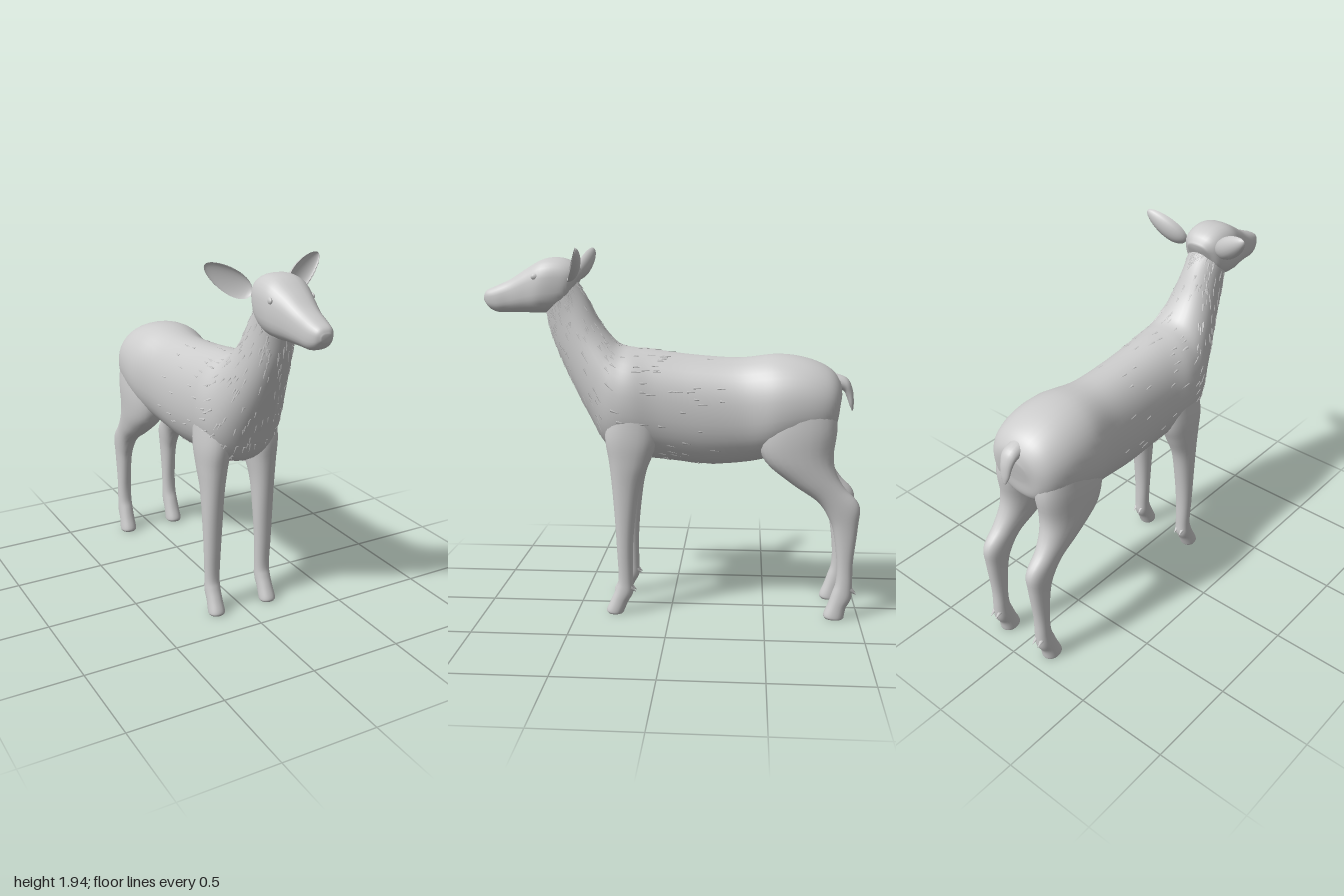
import * as THREE from 'three';
import { mergeGeometries } from 'three/addons/utils/BufferGeometryUtils.js';

// A section is [zA, yA, zB, yB, halfWidth, centreX]: two opposite rim points of the
// side profile plus a half width. Returns a smooth function (u, angle) -> point.
function surface(sections, power = 2) {
  const ends = new THREE.CatmullRomCurve3(sections.map(s => new THREE.Vector3(s[0], s[1], s[2])), false, 'catmullrom', 0.5);
  const rest = new THREE.CatmullRomCurve3(sections.map(s => new THREE.Vector3(s[3], s[4], s[5] || 0)), false, 'catmullrom', 0.5);
  const soft = v => Math.sign(v) * Math.abs(v) ** (2 / power);
  return (u, angle) => {
    const a = ends.getPoint(u), b = rest.getPoint(u);
    const c = soft(Math.cos(angle)), k = (soft(Math.sin(angle)) + 1) / 2;
    return new THREE.Vector3(b.z + b.y * c, b.x + (a.y - b.x) * k, a.z + (a.x - a.z) * k);
  };
}

// Closed skin over a surface function
function loft(fn, rings, sides = 28) {
  const pos = [], index = [];
  for (let i = 0; i <= rings; i++) {
    for (let j = 0; j < sides; j++) pos.push(...fn(i / rings, j / sides * Math.PI * 2).toArray());
  }
  for (let i = 0; i < rings; i++) {
    for (let j = 0; j < sides; j++) {
      const a = i * sides + j, b = i * sides + (j + 1) % sides;
      index.push(a, b, b + sides, a, b + sides, a + sides);
    }
  }
  const count = (rings + 1) * sides, last = rings * sides;
  for (const u of [0, 1]) {
    const p = fn(u, 0).add(fn(u, Math.PI)).multiplyScalar(0.5);
    pos.push(p.x, p.y, p.z);
  }
  for (let j = 0; j < sides; j++) {
    const n = (j + 1) % sides;
    index.push(count, n, j, count + 1, last + j, last + n);
  }
  const g = new THREE.BufferGeometry();
  g.setAttribute('position', new THREE.Float32BufferAttribute(pos, 3));
  g.setIndex(index);
  g.computeVertexNormals();
  return g;
}

const BODY = [
  [-0.895, 1.19, -0.87, 1.07, 0.07], [-0.88, 1.26, -0.855, 0.98, 0.155], [-0.82, 1.325, -0.80, 0.93, 0.21],
  [-0.70, 1.373, -0.70, 0.90, 0.24], [-0.55, 1.39, -0.55, 0.85, 0.245], [-0.35, 1.37, -0.40, 0.815, 0.205],
  [-0.10, 1.385, -0.20, 0.80, 0.20], [0.10, 1.41, 0.02, 0.82, 0.205], [0.20, 1.42, 0.20, 0.84, 0.222],
  [0.27, 1.435, 0.335, 0.88, 0.21], [0.32, 1.475, 0.45, 1.07, 0.175], [0.385, 1.56, 0.56, 1.29, 0.135],
  [0.455, 1.69, 0.635, 1.47, 0.108], [0.52, 1.79, 0.67, 1.61, 0.10],
];
const HEAD = [
  [0.475, 1.81, 0.52, 1.72, 0.06], [0.51, 1.86, 0.56, 1.645, 0.105], [0.58, 1.888, 0.62, 1.607, 0.122],
  [0.67, 1.882, 0.70, 1.60, 0.125], [0.76, 1.835, 0.78, 1.602, 0.10], [0.85, 1.778, 0.86, 1.602, 0.077],
  [0.93, 1.742, 0.92, 1.602, 0.066], [0.983, 1.718, 0.965, 1.62, 0.05], [1.0, 1.69, 0.995, 1.655, 0.025],
];
const FRONT_LEG = [
  [0.32, 1.15, 0.07, 1.15, 0.075, 0.13], [0.345, 0.97, 0.07, 0.95, 0.085, 0.137], [0.325, 0.83, 0.11, 0.83, 0.073, 0.145],
  [0.31, 0.70, 0.16, 0.70, 0.06, 0.15], [0.295, 0.52, 0.187, 0.52, 0.052, 0.153], [0.285, 0.35, 0.2, 0.35, 0.045, 0.155],
  [0.278, 0.2, 0.2, 0.19, 0.04, 0.155], [0.29, 0.14, 0.2, 0.115, 0.041, 0.156], [0.315, 0.08, 0.228, 0.06, 0.041, 0.157],
  [0.342, 0.02, 0.25, 0.008, 0.044, 0.158], [0.335, 0.0, 0.255, 0.0, 0.04, 0.158],
];
const HIND_LEG = [
  [-0.52, 1.2, -0.83, 1.2, 0.09, 0.13], [-0.46, 1.0, -0.865, 1.03, 0.11, 0.13], [-0.49, 0.85, -0.85, 0.88, 0.1, 0.135],
  [-0.63, 0.73, -0.865, 0.79, 0.08, 0.143], [-0.77, 0.635, -0.91, 0.71, 0.06, 0.15], [-0.835, 0.54, -0.988, 0.62, 0.052, 0.152],
  [-0.862, 0.45, -0.985, 0.5, 0.044, 0.153], [-0.88, 0.3, -0.965, 0.31, 0.039, 0.154], [-0.878, 0.2, -0.965, 0.19, 0.04, 0.155],
  [-0.86, 0.14, -0.962, 0.115, 0.042, 0.156], [-0.84, 0.08, -0.935, 0.06, 0.043, 0.157],
  [-0.817, 0.02, -0.925, 0.008, 0.046, 0.158], [-0.825, 0.0, -0.92, 0.0, 0.042, 0.158],
];
const TAIL = [
  [-0.84, 1.22, -0.83, 1.30, 0.045], [-0.90, 1.20, -0.915, 1.27, 0.045], [-0.918, 1.17, -0.948, 1.215, 0.036],
  [-0.935, 1.125, -0.958, 1.145, 0.026], [-0.948, 1.095, -0.956, 1.095, 0.008],
];

// Cupped leaf with its base at the origin, growing along +y
function earGeometry() {
  const g = new THREE.SphereGeometry(1, 20, 16), p = g.attributes.position;
  for (let i = 0; i < p.count; i++) {
    const t = (p.getY(i) + 1) / 2, z = p.getZ(i), w = 1.12 - 0.35 * t;
    p.setXYZ(i, p.getX(i) * 0.062 * w, t * 0.262, (z > 0 ? -0.55 * z : z) * 0.05 * w);
  }
  g.computeVertexNormals();
  return g;
}

// Thin flakes lying along the coat, dense on the neck and sparse toward the rump
function coatGeometry(fn) {
  let seed = 7;
  const rand = () => (seed = (seed * 16807) % 2147483647) / 2147483647;
  const flakes = [], m = new THREE.Matrix4();
  for (let i = 0; i < 330; i++) {
    const u = 0.97 - 0.56 * rand() ** 1.8, a = rand() * Math.PI * 2;
    const at = fn(u, a);
    const along = fn(u - 0.01, a).sub(at).normalize();
    const out = fn(u, a + 0.02).sub(fn(u, a - 0.02)).cross(along).normalize();
    if (out.dot(at.clone().sub(fn(u, a + Math.PI))) < 0) out.negate();
    const dir = along.addScaledVector(out, 0.13).normalize();
    const side = new THREE.Vector3().crossVectors(dir, out).normalize();
    m.makeBasis(side, dir, new THREE.Vector3().crossVectors(side, dir));
    m.setPosition(at.addScaledVector(out, 0.001));
    const length = 0.035 + 0.03 * rand();
    flakes.push(new THREE.ConeGeometry(0.007, length, 5).scale(1, 1, 0.5).applyMatrix4(m));
  }
  return mergeGeometries(flakes);
}

export function createModel() {
  const model = new THREE.Group();
  model.name = 'deer';
  const coat = new THREE.MeshStandardMaterial({ color: 0xcccccc });
  coat.name = 'light grey coat';
  const add = (name, geometry) => {
    const mesh = new THREE.Mesh(geometry, coat);
    mesh.name = name;
    model.add(mesh);
    return mesh;
  };

  // Trunk, head and tail
  const body = surface(BODY, 2.15);
  add('bodyAndNeck', loft(body, 78, 40));
  add('head', loft(surface(HEAD, 2.6), 40, 32));
  add('tail', loft(surface(TAIL), 20, 16));
  add('coatTufts', coatGeometry(body));

  // Paired parts
  for (const [side, s] of [['left', 1], ['right', -1]]) {
    const legs = { FrontLeg: FRONT_LEG, HindLeg: HIND_LEG };
    for (const [name, sections] of Object.entries(legs)) {
      const placed = sections.map(r => [...r.slice(0, 5), r[5] * s]);
      add(side + name, loft(surface(placed, 2.2), 52, 24));
    }
    // Dewclaws behind each fetlock
    for (const [name, z, y] of [['FrontDewclaw', 0.198, 0.135], ['HindDewclaw', -0.968, 0.15]]) {
      for (const dx of [-0.018, 0.018]) {
        const claw = add(side + name, new THREE.ConeGeometry(0.014, 0.045, 8));
        claw.position.set(s * 0.156 + dx, y, z);
        claw.rotation.x = -2.2;
      }
    }
    // Ear, spread outward and opening to the front
    const ear = add(side + 'Ear', earGeometry());
    ear.position.set(s * 0.105, 1.785, 0.535);
    ear.rotation.set(-0.22, s * 0.2, s * -0.93, 'XYZ');
    // Low eye swelling
    const eye = add(side + 'Eye', new THREE.SphereGeometry(0.022, 14, 10));
    eye.scale.set(0.5, 0.8, 1.2);
    eye.position.set(s * 0.108, 1.79, 0.7);
    eye.rotation.y = s * 0.3;
  }
  return model;
}
